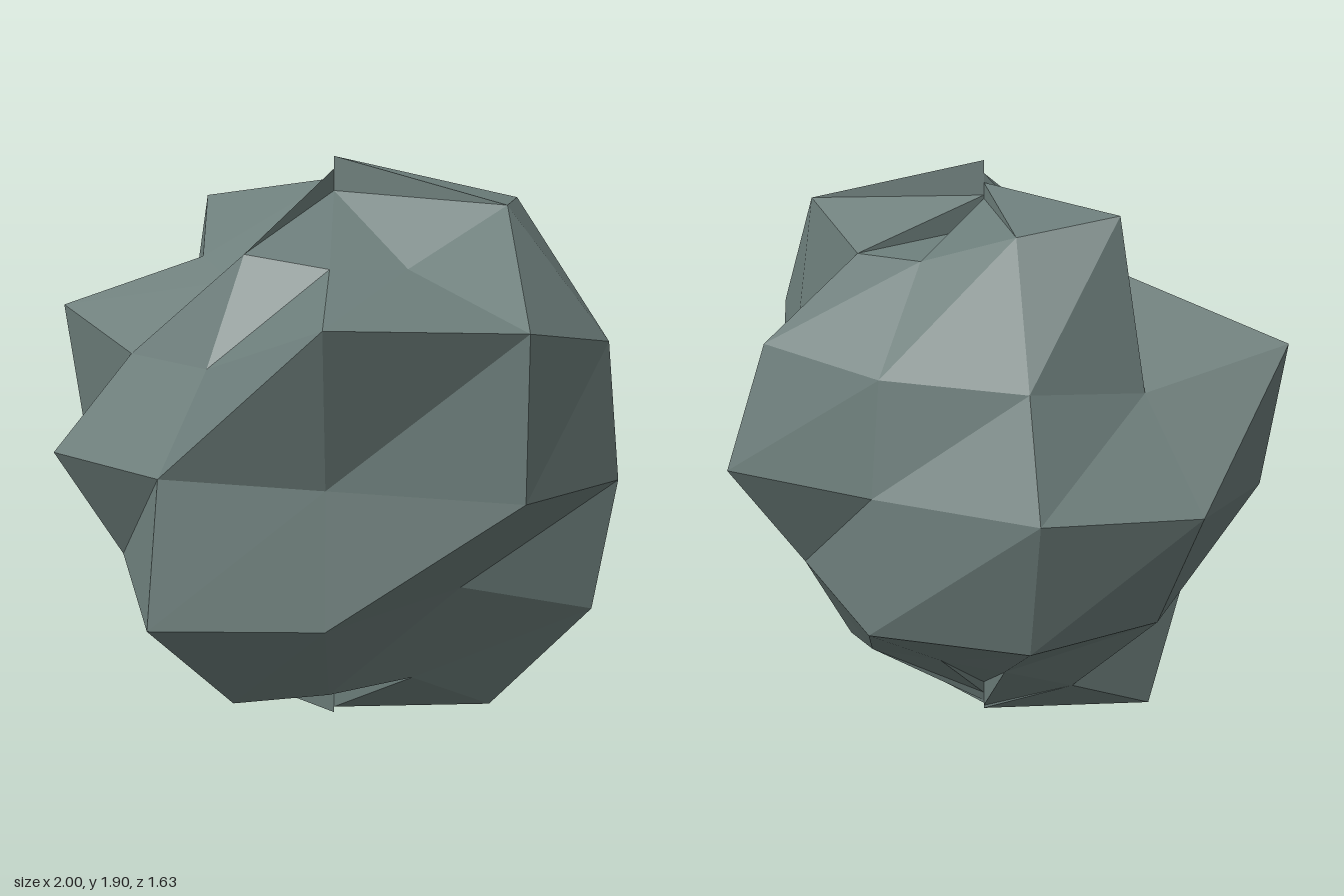
import * as THREE from 'three';

// Direction of each column around the vertical axis, in degrees from +x towards +z
const angles = [178.8, 153.8, 126, 88, 46.3, 13.4, -12.4, -38, -71.7, -113.5, -153];
const all = (value) => angles.map(() => value);

// Rings from top to bottom: distance from the axis and height for each column.
// The poles are rings of no width whose heights differ, which gives jagged tips.
const rings = [
  { r: all(0), y: [1.83, 1.83, 1.83, 1.86, 1.79, 1.79, 1.79, 1.9, 1.79, 1.69, 1.78] },
  { r: [0.63, 0.47, 0.34, 0.4, 0.385, 0.435, 0.625, 0.59, 0.42, 0.39, 0.52],
    y: [1.77, 1.57, 1.5, 1.6, 1.56, 1.56, 1.75, 1.77, 1.62, 1.62, 1.71] },
  { r: [0.75, 1.012, 0.665, 0.56, 0.9, 1.025, 0.965, 0.665, 0.727, 0.63, 0.72],
    y: [1.27, 1.39, 1.27, 1.26, 1.43, 1.42, 1.36, 1.26, 1.35, 1.3, 1.29] },
  { r: [1.0, 0.946, 0.925, 0.76, 0.71, 1.025, 1.01, 0.78, 0.86, 0.68, 0.88],
    y: all(0.95) },
  { r: [0.83, 0.72, 0.71, 0.815, 0.75, 0.73, 0.94, 0.64, 0.62, 0.71, 0.76],
    y: [0.585, 0.62, 0.6, 0.49, 0.54, 0.64, 0.54, 0.66, 0.62, 0.53, 0.52] },
  { r: [0.46, 0.61, 0.46, 0.47, 0.46, 0.48, 0.6, 0.49, 0.4, 0.29, 0.375],
    y: [0.25, 0.15, 0.18, 0.165, 0.24, 0.28, 0.16, 0.235, 0.28, 0.29, 0.3] },
  { r: all(0), y: [0, 0.16, 0.16, 0.16, 0.1, 0.02, 0.02, 0.03, 0.06, 0.1, 0.01] },
];

function rockGeometry() {
  const n = angles.length;
  const point = (ring, k) => {
    const a = THREE.MathUtils.degToRad(angles[k % n]);
    const r = rings[ring].r[k % n];
    return [r * Math.cos(a), rings[ring].y[k % n], r * Math.sin(a) + 0.01];
  };
  const positions = [];
  const tri = (...corners) => corners.forEach((c) => positions.push(...c));

  for (let i = 0; i < rings.length - 1; i++) {
    for (let k = 0; k < n; k++) {
      const upper = point(i, k + 1);
      const lower = point(i + 1, k);
      tri(point(i, k), lower, upper);
      tri(lower, point(i + 1, k + 1), upper);
    }
  }

  const geometry = new THREE.BufferGeometry();
  geometry.setAttribute('position', new THREE.Float32BufferAttribute(positions, 3));
  geometry.computeVertexNormals();
  return geometry;
}

export function createModel() {
  const stone = new THREE.MeshStandardMaterial({
    name: 'grey green stone', color: 0x6b7c79, flatShading: true, side: THREE.DoubleSide,
  });
  const rock = new THREE.Mesh(rockGeometry(), stone);
  rock.name = 'rock';

  const model = new THREE.Group();
  model.name = 'boulder';
  model.add(rock);
  return model;
}
